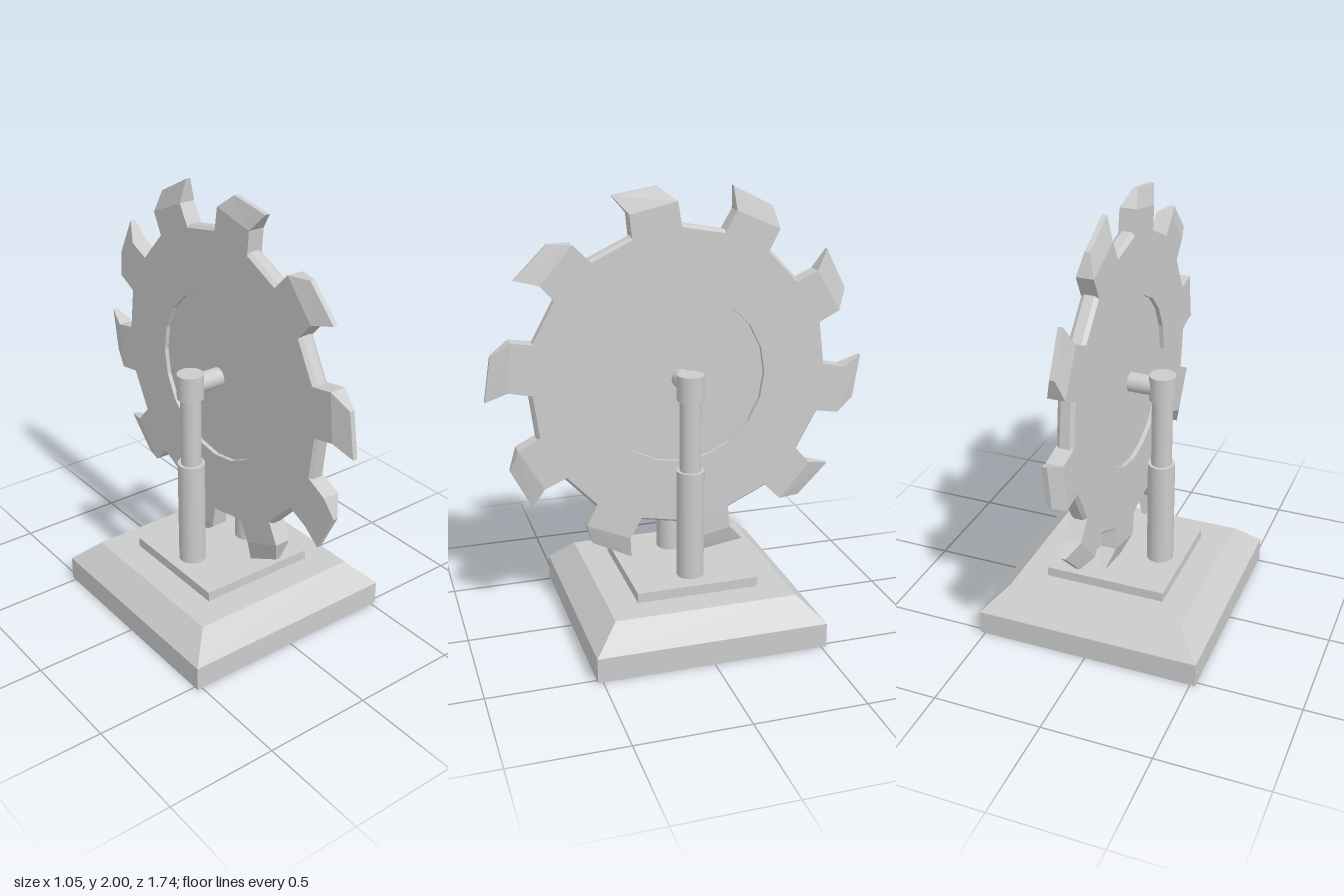
import * as THREE from 'three';

const AXLE_Y = 1.153;
const material = new THREE.MeshStandardMaterial({ color: 0xcccccc });
const flat = new THREE.MeshStandardMaterial({ color: 0xcccccc, flatShading: true });

function add(parent, name, geometry, mat, x = 0, y = 0, z = 0) {
  const mesh = new THREE.Mesh(geometry, mat);
  mesh.name = name;
  mesh.position.set(x, y, z);
  parent.add(mesh);
  return mesh;
}

// Upright cylinder between two heights
function post(parent, name, r, y0, y1, x) {
  return add(parent, name, new THREE.CylinderGeometry(r, r, y1 - y0, 24), material, x, (y0 + y1) / 2, 0);
}

// Toothed blade in the XY plane, mirrored in thickness
function bladeGeometry() {
  const TEETH = 10, STEP = (Math.PI * 2) / TEETH;
  const FULL = 0.038, THIN = 0.011, GULLET = 0.021, RECESS = 0.018, HUB = 0.386;
  const pos = [];

  const polygon = (...p) => {
    for (let i = 1; i < p.length - 1; i++) pos.push(...p[0], ...p[i], ...p[i + 1]);
  };
  const at = (p, z) => [p.x, p.y, z];
  // Face on both sides of the blade
  const sides = (...p) => {
    polygon(...p);
    polygon(...p.map(([x, y, z]) => [x, y, -z]).reverse());
  };
  // Edge wall across the thickness
  const wall = (a, b, ha, hb) => polygon(at(a, -ha), at(b, -hb), at(b, hb), at(a, ha));

  for (let k = 0; k < TEETH; k++) {
    const pt = (x, y, turn = k) => new THREE.Vector2(x, y).rotateAround(new THREE.Vector2(), turn * STEP);
    const rootBack = pt(0.643, -0.207), back = pt(0.752, -0.225), heel = pt(0.837, -0.167);
    const tip = pt(0.869, 0.034), front = pt(0.773, -0.008), rootFront = pt(0.667, 0.015);
    const nextRoot = pt(0.643, -0.207, k + 1), nextBack = pt(0.752, -0.225, k + 1);
    const [h0, h1, h2] = [-0.5, 0, 0.5].map((t) => pt(HUB, 0, k + t));

    // Ring around the hub
    sides(at(h0, FULL), at(rootBack, FULL), at(rootFront, FULL), at(h1, FULL));
    sides(at(h1, FULL), at(rootFront, FULL), at(nextRoot, FULL), at(h2, FULL));

    // Recessed hub and its step
    for (const [a, b] of [[h0, h1], [h1, h2]]) {
      sides(at(a, FULL), at(b, FULL), at(b, RECESS), at(a, RECESS));
      sides([0, 0, RECESS], at(a, RECESS), at(b, RECESS));
    }

    // Tooth neck and sharpened end
    sides(at(rootBack, FULL), at(back, FULL), at(front, FULL), at(rootFront, FULL));
    sides(at(back, FULL), at(heel, THIN), at(tip, THIN), at(front, FULL));
    wall(rootBack, back, FULL, FULL);
    wall(back, heel, FULL, THIN);
    wall(heel, tip, THIN, THIN);
    wall(tip, front, THIN, FULL);
    wall(front, rootFront, FULL, FULL);

    // Bevelled rim between teeth
    const g0 = rootFront.clone().lerp(front, 0.12), g1 = nextRoot.clone().lerp(nextBack, 0.12);
    sides(at(rootFront, FULL), at(g0, GULLET), at(g1, GULLET), at(nextRoot, FULL));
    wall(g0, g1, GULLET, GULLET);
  }

  const geometry = new THREE.BufferGeometry();
  geometry.setAttribute('position', new THREE.Float32BufferAttribute(pos, 3));
  geometry.computeVertexNormals();
  return geometry;
}

// Square frustum with its sides along the axes
function squareFrustum(topHalf, bottomHalf, height) {
  const g = new THREE.CylinderGeometry(topHalf * Math.SQRT2, bottomHalf * Math.SQRT2, height, 4);
  return g.rotateY(Math.PI / 4);
}

export function createModel() {
  const model = new THREE.Group();
  model.name = 'bladeOnStand';

  // Stepped base
  const base = new THREE.Group();
  base.name = 'base';
  model.add(base);
  add(base, 'baseSlab', new THREE.BoxGeometry(1.046, 0.113, 1.046), flat, 0, 0.0565, 0);
  add(base, 'baseSlope', squareFrustum(0.415, 0.523, 0.107), flat, 0, 0.1665, 0);
  add(base, 'basePlate', new THREE.BoxGeometry(0.566, 0.045, 0.56), flat, 0, 0.2425, 0);

  // Two stepped posts
  for (const [side, x] of [['left', 0.157], ['right', -0.17]]) {
    const support = new THREE.Group();
    support.name = side + 'Support';
    model.add(support);
    post(support, 'lowerPost', 0.062, 0.26, 0.77, x);
    post(support, 'upperPost', 0.047, 0.77, 1.1, x);
    post(support, 'postCap', 0.06, 1.096, 1.211, x);
  }

  // Axle between the post caps
  const axle = add(model, 'axle', new THREE.CylinderGeometry(0.044, 0.044, 0.327, 24), material, -0.0065, AXLE_Y, 0);
  axle.rotation.z = Math.PI / 2;

  // Blade turned to face sideways
  const blade = add(model, 'toothedBlade', bladeGeometry(), flat, 0, AXLE_Y, 0);
  blade.rotation.y = Math.PI / 2;

  return model;
}
